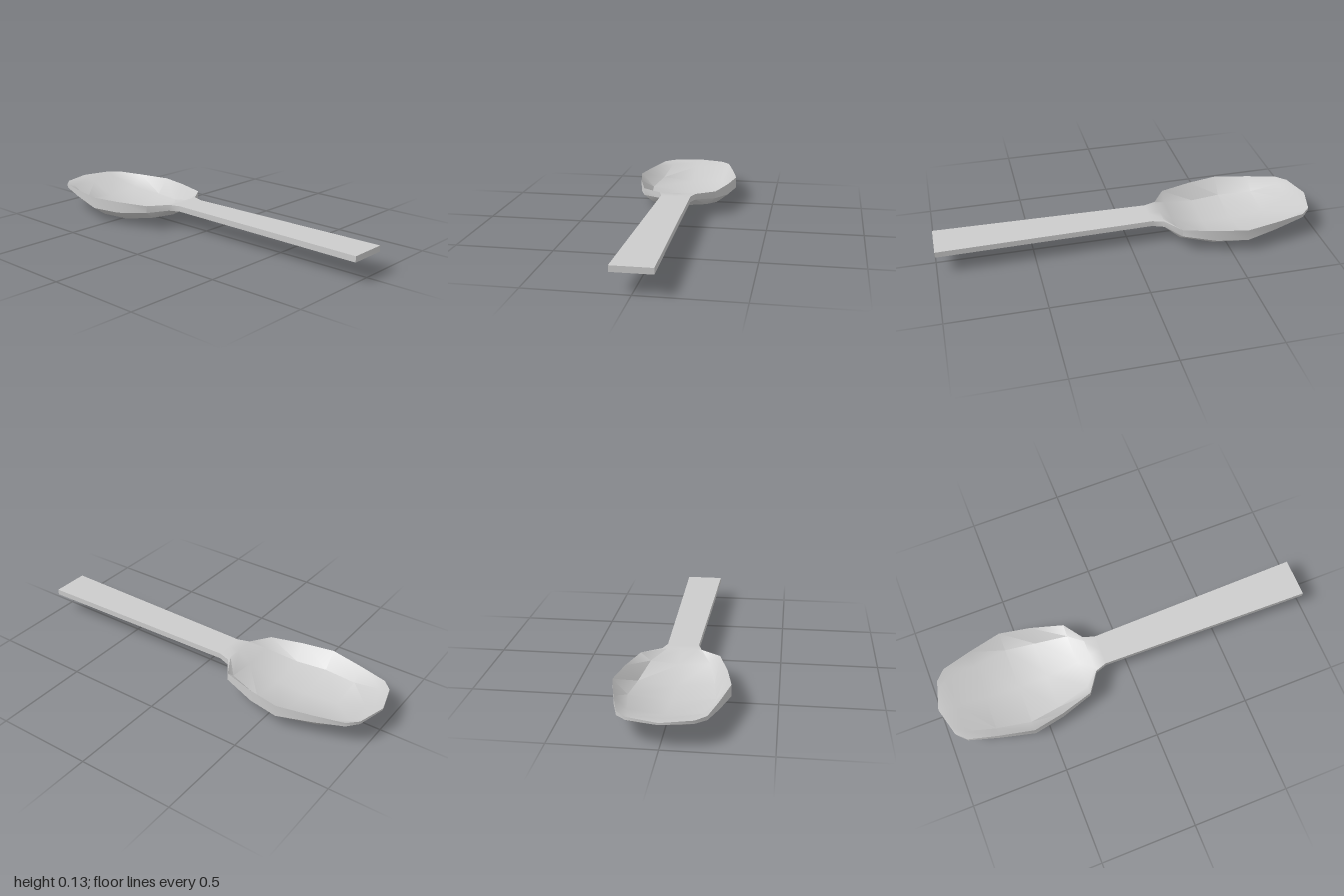
import * as THREE from 'three';
import { toCreasedNormals } from 'three/addons/utils/BufferGeometryUtils.js';

const RIM = 0.13;

// Cross-sections from bowl tip to handle end:
// x, half width, side wall bottom, underside shoulder, underside centre, inner shoulder, inner centre
const SECTIONS = [
  [-1.0, 0.003, 0.12, 0.12, 0.12, 0.13, 0.13],
  [-0.96, 0.15, 0.115, 0.108, 0.102, 0.125, 0.12],
  [-0.91, 0.2, 0.11, 0.09, 0.08, 0.112, 0.105],
  [-0.76, 0.24, 0.09, 0.036, 0.02, 0.066, 0.05],
  [-0.58, 0.28, 0.07, 0.022, 0, 0.052, 0.03],
  [-0.42, 0.25, 0.07, 0.022, 0.002, 0.052, 0.032],
  [-0.25, 0.2, 0.092, 0.055, 0.04, 0.088, 0.075],
  [-0.18, 0.1, 0.098, 0.097, 0.095, 0.13, 0.13],
  [-0.12, 0.08, 0.1, 0.1, 0.1, 0.13, 0.13],
  [1.0, 0.1, 0.1, 0.1, 0.1, 0.13, 0.13],
];

// Closed ring: across the top from +z to -z, then back underneath
function ring([x, w, wall, underMid, underCentre, innerMid, innerCentre]) {
  const m = w * 0.75;
  return [
    [w, RIM], [m, innerMid], [0, innerCentre], [-m, innerMid], [-w, RIM],
    [-w, wall], [-m, underMid], [0, underCentre], [m, underMid], [w, wall],
  ].map(([z, y]) => [x, y, z]);
}

// Skin a row of rings and cap both ends
function loft(rings) {
  const n = rings[0].length;
  const index = [];
  for (let i = 0; i < rings.length - 1; i++) {
    for (let j = 0; j < n; j++) {
      const a = i * n + j, b = i * n + (j + 1) % n;
      index.push(a, a + n, b, b, a + n, b + n);
    }
  }
  const end = (rings.length - 1) * n;
  for (let j = 1; j < n - 1; j++) {
    index.push(0, j, j + 1);
    index.push(end, end + j + 1, end + j);
  }
  const geometry = new THREE.BufferGeometry();
  geometry.setAttribute('position', new THREE.Float32BufferAttribute(rings.flat(2), 3));
  geometry.setIndex(index);
  return toCreasedNormals(geometry, 0.75);
}

export function createModel() {
  const group = new THREE.Group();
  group.name = 'spoon';
  const material = new THREE.MeshStandardMaterial({ color: 0xcccccc });

  // Bowl and handle are one continuous skin
  const body = new THREE.Mesh(loft(SECTIONS.map(ring)), material);
  body.name = 'bowlAndHandle';
  group.add(body);
  return group;
}
